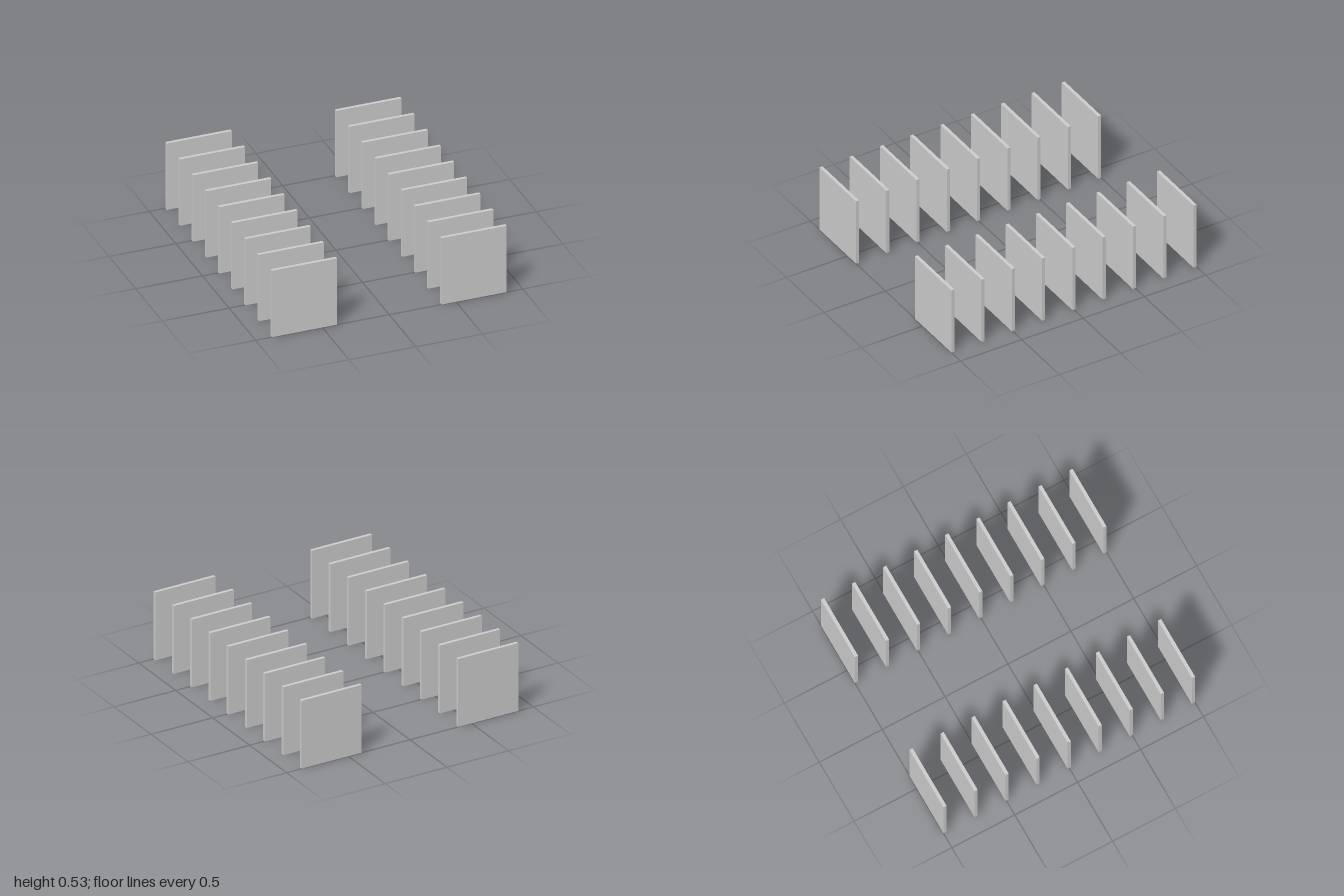
import * as THREE from 'three';

const PANELS_PER_ROW = 9;
const WIDTH = 0.487, HEIGHT = 0.527, THICKNESS = 0.025;
const ROW_X = 0.635;

export function createModel() {
  const model = new THREE.Group();
  model.name = 'panelRows';
  const material = new THREE.MeshStandardMaterial({ color: 0xcccccc });
  const panelGeometry = new THREE.BoxGeometry(WIDTH, HEIGHT, THICKNESS);
  const span = 2 - THICKNESS;

  // Two mirrored rows of evenly spaced upright panels
  for (const side of [1, -1]) {
    const row = new THREE.Group();
    row.name = side > 0 ? 'leftRow' : 'rightRow';
    row.position.x = side * ROW_X;
    for (let i = 0; i < PANELS_PER_ROW; i++) {
      const panel = new THREE.Mesh(panelGeometry, material);
      panel.name = `panel${i + 1}`;
      panel.position.set(0, HEIGHT / 2, span * (0.5 - i / (PANELS_PER_ROW - 1)));
      row.add(panel);
    }
    model.add(row);
  }
  return model;
}
